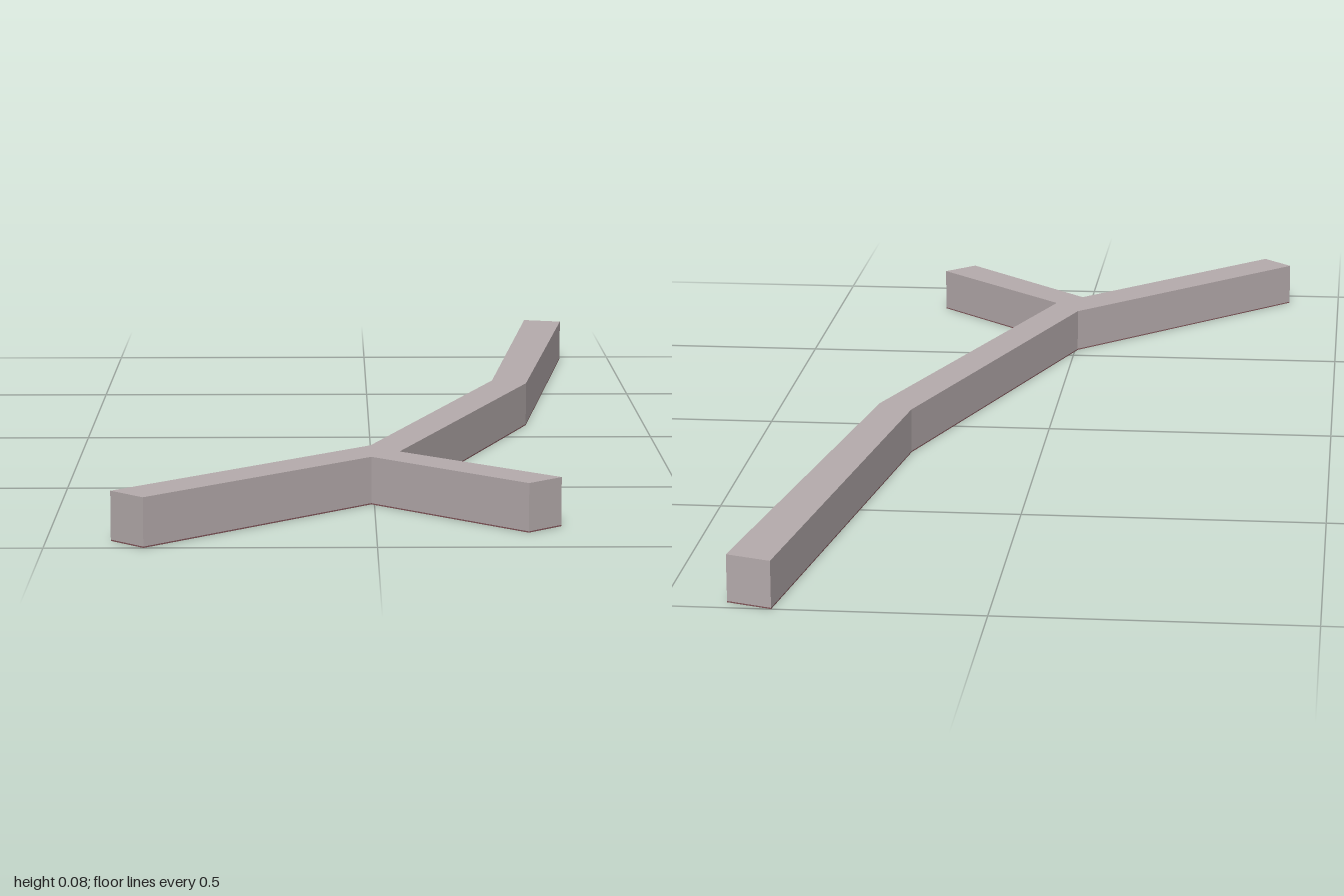
import * as THREE from 'three';

// Plan outline of the forked stick, as [x, z]
const OUTLINE = [
  [0.33, -1], [0.225, -0.165], [-0.005, 0.54],    // outer edge of the bent stem
  [-0.402, 0.945], [-0.35, 1],                    // long prong tip
  [-0.005, 0.65],                                 // crotch
  [0.233, 0.888], [0.286, 0.836],                 // short prong tip
  [0.041, 0.6], [0.285, -0.13], [0.402, -0.975],  // inner edge of the stem
];

// Horizontal slab of the outline between two heights
function slab(name, y0, y1, material) {
  const shape = new THREE.Shape(OUTLINE.map(([x, z]) => new THREE.Vector2(x, -z)));
  const geometry = new THREE.ExtrudeGeometry(shape, { depth: y1 - y0, bevelEnabled: false });
  geometry.rotateX(-Math.PI / 2).translate(0, y0, 0);
  const mesh = new THREE.Mesh(geometry, material);
  mesh.name = name;
  return mesh;
}

export function createModel() {
  const bark = new THREE.MeshStandardMaterial({ color: 0xb5abac });
  bark.name = 'greyBark';
  const underside = new THREE.MeshStandardMaterial({ color: 0x805458 });
  underside.name = 'darkUnderside';

  const group = new THREE.Group();
  group.name = 'forkedStick';
  group.add(slab('stick', 0.002, 0.077, bark));
  // Thin facing under the stick
  group.add(slab('underside', 0, 0.002, underside));
  return group;
}
